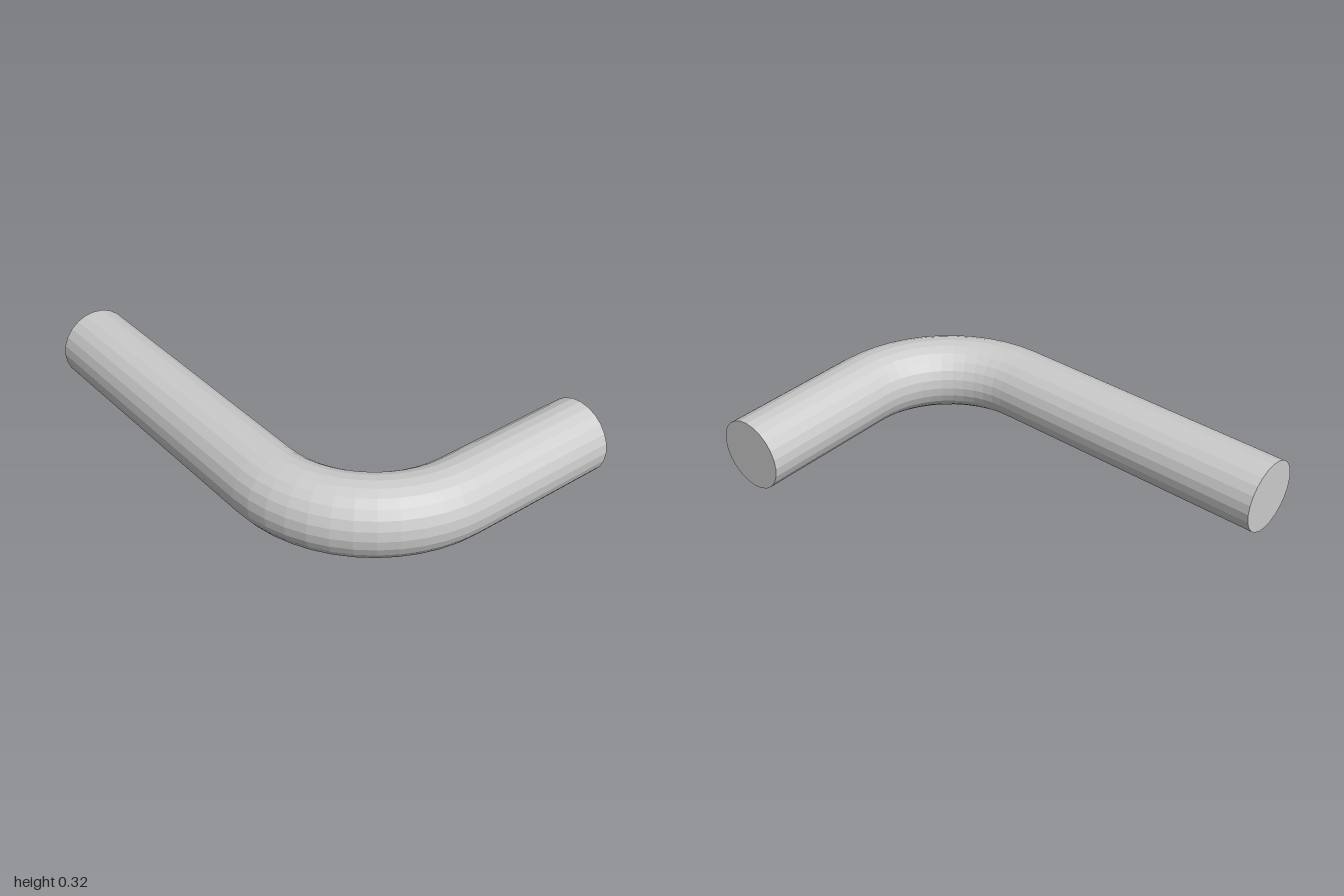
import * as THREE from 'three';

const RADIUS = 0.162;      // bar radius
const BEND = 0.523;        // centreline radius of the elbow
const CX = 0.01, CZ = 0.315; // centre of the elbow
const STEPS = 12;          // segments around the elbow
const ROWS = STEPS + 2;    // plus one for each straight leg

export function createModel() {
  const group = new THREE.Group();
  group.name = 'bentBar';

  // A capped straight cylinder whose rings are laid along leg, elbow, leg
  const geometry = new THREE.CylinderGeometry(RADIUS, RADIUS, 1, 24, ROWS);
  const pos = geometry.attributes.position;
  for (let i = 0; i < pos.count; i++) {
    const row = Math.round((pos.getY(i) + 0.5) * ROWS);
    const a = THREE.MathUtils.clamp((row - 1) / STEPS, 0, 1) * Math.PI / 2;
    const reach = pos.getX(i) - BEND; // distance along the direction to the elbow centre
    let x = CX + Math.sin(a) * reach;
    let z = CZ - Math.cos(a) * reach;
    if (row === 0) x = 0.675;   // end of the short leg
    if (row === ROWS) z = -1;   // end of the long leg
    pos.setXYZ(i, x, pos.getZ(i) + RADIUS, z);
  }
  geometry.computeVertexNormals();

  const bar = new THREE.Mesh(
    geometry,
    new THREE.MeshStandardMaterial({ color: 0xcccccc, flatShading: true })
  );
  bar.name = 'bar';
  group.add(bar);
  return group;
}
